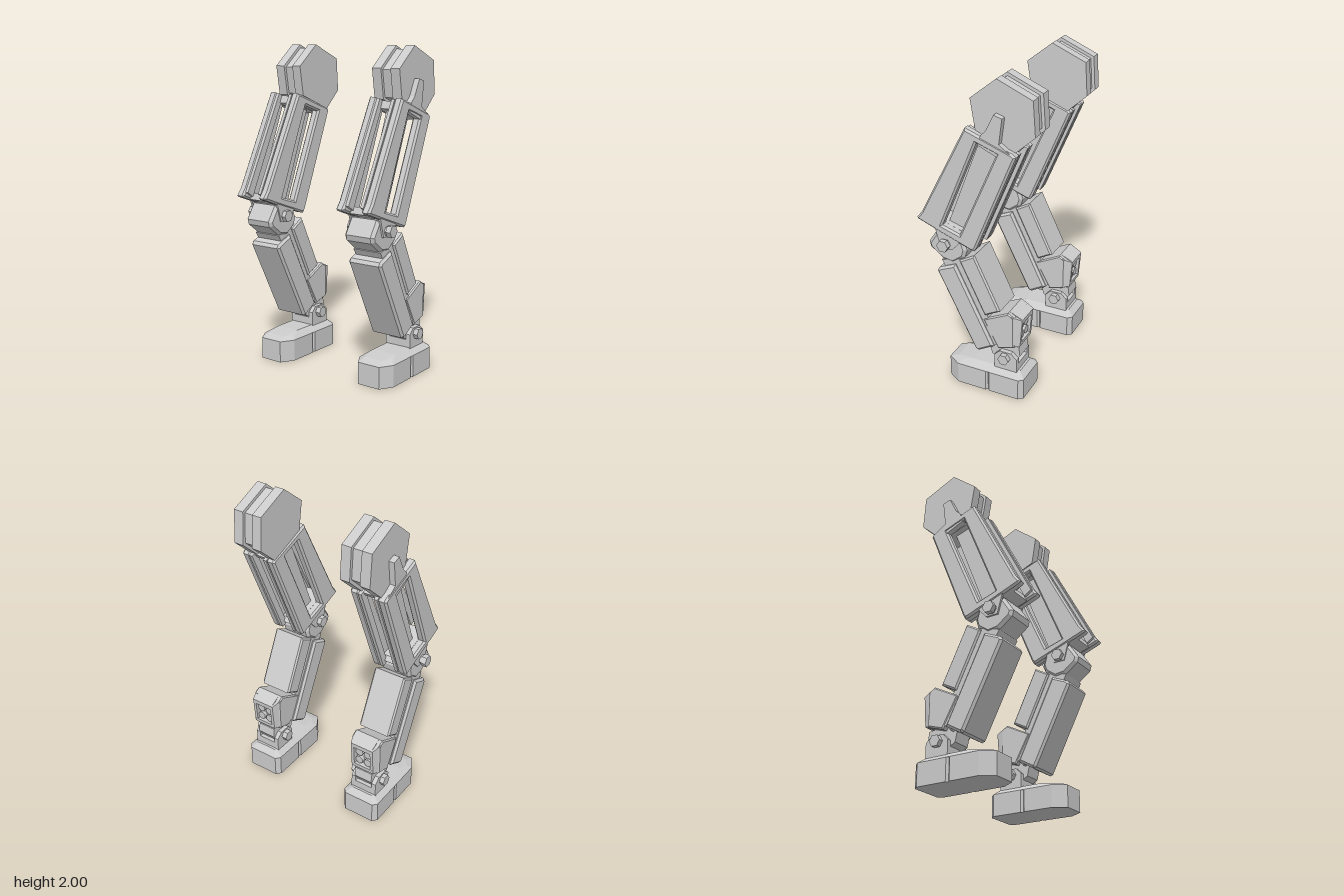
import * as THREE from 'three';
import { ConvexGeometry } from 'three/addons/geometries/ConvexGeometry.js';

const material = new THREE.MeshStandardMaterial({ color: 0xcccccc, flatShading: true });

function add(parent, name, geometry) {
  const mesh = new THREE.Mesh(geometry, material);
  mesh.name = name;
  parent.add(mesh);
  return mesh;
}

// Side outline given as [z, y] points, extruded across x from x0 to x1
function plate(parent, name, points, x0, x1, bevel = 0, hole = null) {
  const toVec = (p) => new THREE.Vector2(p[0], p[1]);
  const shape = new THREE.Shape(points.map(toVec));
  if (hole) shape.holes.push(new THREE.Path(hole.map(toVec)));
  const width = x1 - x0;
  const geometry = new THREE.ExtrudeGeometry(shape, {
    depth: width - 2 * bevel, bevelEnabled: bevel > 0, bevelSegments: 1,
    bevelSize: bevel, bevelThickness: bevel, bevelOffset: -bevel,
  });
  geometry.translate(0, 0, -(width - 2 * bevel) / 2);
  geometry.rotateY(-Math.PI / 2);
  geometry.translate((x0 + x1) / 2, 0, 0);
  return add(parent, name, geometry);
}

// Cylinder lying along x
function pin(parent, name, radius, x0, x1, y, z) {
  const geometry = new THREE.CylinderGeometry(radius, radius, x1 - x0, 6);
  geometry.rotateZ(Math.PI / 2);
  add(parent, name, geometry).position.set((x0 + x1) / 2, y, z);
}

// Symmetric foot outline: half widths at each z, as a convex solid between layers
function footSolid(parent, name, layers) {
  const points = [];
  for (const [y, rows] of layers) {
    for (const [z, half] of rows) {
      points.push(new THREE.Vector3(half, y, z), new THREE.Vector3(-half, y, z));
    }
  }
  add(parent, name, new ConvexGeometry(points));
}

function buildHip(leg) {
  const outline = [[-0.14, 2], [-0.355, 1.91], [-0.37, 1.706], [-0.25, 1.595], [-0.01, 1.69], [0.02, 1.87]];
  const inner = outline.map(([z, y]) => [-0.17 + (z + 0.17) * 0.9, 1.79 + (y - 1.79) * 0.9]);
  plate(leg, 'hipInnerPlate', outline, -0.112, -0.05);
  plate(leg, 'hipCore', inner, -0.05, 0.016);
  plate(leg, 'hipOuterPlate', outline, 0.016, 0.079);
  plate(leg, 'hipStrap', [[-0.14, 1.81], [-0.19, 1.795], [-0.17, 1.645], [-0.25, 1.59],
    [-0.18, 1.56], [-0.04, 1.62], [-0.06, 1.68], [-0.09, 1.71]], 0.078, 0.114);
}

function buildThigh(leg) {
  const side = [[0.04, 1.706], [0.335, 1.135], [0.37, 1.09], [0.36, 1.08], [0.24, 1.035],
    [0.02, 0.955], [-0.005, 0.95], [-0.02, 0.975], [-0.27, 1.585], [-0.25, 1.602]];
  const window = [[-0.03, 1.627], [-0.154, 1.585], [0.085, 1.04], [0.2, 1.076]];
  for (const s of [-1, 1]) {
    const [a, b] = [s * 0.06, s * 0.118].sort((p, q) => p - q);
    plate(leg, 'thighSideFrame', side, a, b, 0.012, window);
    // Inner lips narrowing the front and back openings
    const [c, d] = [s * 0.04, s * 0.062].sort((p, q) => p - q);
    plate(leg, 'thighFrontRail', [[0.04, 1.7], [0.345, 1.11], [0.3, 1.08], [0.005, 1.68]], c, d);
    plate(leg, 'thighBackRail', [[-0.27, 1.585], [-0.01, 0.955], [0.03, 0.97], [-0.23, 1.6]], c, d);
  }
  plate(leg, 'thighCore', [[-0.03, 1.66], [-0.15, 1.61], [0.085, 1.02], [0.2, 1.06]], -0.033, 0.033);
  plate(leg, 'thighTopBlock', [[0.015, 1.685], [-0.25, 1.59], [-0.225, 1.56], [0.035, 1.64]], -0.07, 0.07);
  plate(leg, 'thighBottomBlock', [[0.285, 1.1], [0.3, 1.06], [0.03, 0.965], [0, 0.99], [0.02, 1.02]], -0.07, 0.07);
}

function buildKnee(leg) {
  plate(leg, 'kneeJoint', [[0.245, 1.03], [0.307, 0.935], [0.297, 0.9], [0.215, 0.838], [0.14, 0.828],
    [0.07, 0.88], [0.055, 0.93], [0.08, 1.01]], -0.105, 0.1, 0.018);
  for (const x of [-0.112, 0.097]) {
    plate(leg, 'kneeLug', [[0.25, 1.05], [0.215, 0.925], [0.14, 0.925], [0.09, 0.98], [0.09, 1.01]], x, x + 0.015);
  }
  pin(leg, 'kneePin', 0.03, -0.13, 0.13, 0.96, 0.18);
  pin(leg, 'kneePinHead', 0.038, -0.146, -0.118, 0.96, 0.18);
  pin(leg, 'kneePinHead', 0.038, 0.125, 0.158, 0.96, 0.18);
}

function buildCalf(leg) {
  plate(leg, 'shinArmor', [[0.248, 0.76], [0.235, 0.782], [0.125, 0.83], [-0.125, 0.325], [-0.02, 0.265],
    [0, 0.272]], -0.116, 0.114, 0.014);
  plate(leg, 'calfSpine', [[0.22, 0.835], [0.09, 0.87], [-0.16, 0.36], [-0.1, 0.3]], -0.095, 0.095);
  plate(leg, 'calfBox', [[0.1, 0.86], [0, 0.917], [-0.165, 0.578], [-0.064, 0.525]], -0.108, 0.106, 0.01);
}

function buildHeelHousing(leg) {
  plate(leg, 'heelHousing', [[-0.05, 0.495], [-0.215, 0.578], [-0.255, 0.555], [-0.255, 0.345],
    [-0.15, 0.313]], -0.1, 0.1, 0.008);
  // Raised tapering frame around the recessed vents
  for (const s of [-1, 1]) {
    const corners = [];
    for (const [y0, z0, y1, z1] of [[0.56, -0.235, 0.54, -0.3], [0.345, -0.235, 0.357, -0.286]]) {
      corners.push([0.1, y0, z0], [0.058, y0, z0], [0.078, y1, z1], [0.058, y1, z1]);
    }
    add(leg, 'ventFrameSide', new ConvexGeometry(corners.map(([x, y, z]) => new THREE.Vector3(s * x, y, z))));
  }
  plate(leg, 'ventFrameTop', [[-0.215, 0.578], [-0.3, 0.54], [-0.298, 0.51], [-0.24, 0.51]], -0.07, 0.07);
  plate(leg, 'ventFrameBottom', [[-0.24, 0.38], [-0.288, 0.38], [-0.286, 0.355], [-0.24, 0.338]], -0.07, 0.07);
  for (const [x, y, r] of [[-0.03, 0.473, 0.026], [0.03, 0.473, 0.026], [-0.03, 0.412, 0.026], [0.03, 0.412, 0.026]]) {
    const vent = new THREE.CylinderGeometry(r, r, 0.03, 12);
    vent.rotateX(Math.PI / 2);
    add(leg, 'vent', vent).position.set(x, y, -0.262);
  }
}

function buildAnkle(leg) {
  plate(leg, 'ankleLink', [[-0.07, 0.33], [-0.16, 0.345], [-0.27, 0.33], [-0.278, 0.27], [-0.235, 0.205],
    [-0.15, 0.205], [-0.09, 0.24]], -0.06, 0.06);
  for (const s of [-1, 1]) {
    const [a, b] = [s * 0.06, s * 0.088].sort((p, q) => p - q);
    plate(leg, 'ankleYoke', [[-0.12, 0.16], [-0.12, 0.255], [-0.155, 0.29], [-0.23, 0.29], [-0.27, 0.255],
      [-0.27, 0.16]], a, b);
  }
  plate(leg, 'anklePost', [[-0.12, 0.16], [-0.12, 0.22], [-0.27, 0.22], [-0.27, 0.16]], -0.062, 0.062);
  pin(leg, 'anklePin', 0.036, -0.122, 0.118, 0.25, -0.19);
}

function buildFoot(leg) {
  const toe = [[0.196, 0.075], [0.115, 0.125], [-0.075, 0.125], [-0.09, 0.11]];
  const heel = [[-0.085, 0.11], [-0.1, 0.125], [-0.295, 0.125], [-0.323, 0.1]];
  footSolid(leg, 'toeBlock', [[0, toe], [0.137, toe]]);
  footSolid(leg, 'heelBlock', [[0, heel], [0.137, heel]]);
  footSolid(leg, 'footTop', [
    [0.137, [[0.196, 0.075], [0.115, 0.125], [-0.295, 0.125], [-0.323, 0.1]]],
    [0.158, [[0.14, 0.065], [0.09, 0.095]]],
    [0.172, [[0.03, 0.08], [-0.265, 0.08], [-0.285, 0.07]]],
  ]);
}

export function createModel() {
  const model = new THREE.Group();
  model.name = 'mechanicalLegs';
  for (const side of [1, -1]) {
    const leg = new THREE.Group();
    leg.name = side > 0 ? 'leftLeg' : 'rightLeg';
    for (const build of [buildHip, buildThigh, buildKnee, buildCalf, buildHeelHousing, buildAnkle, buildFoot]) build(leg);
    leg.position.x = side * 0.381;
    leg.scale.x = side;
    model.add(leg);
  }
  return model;
}
